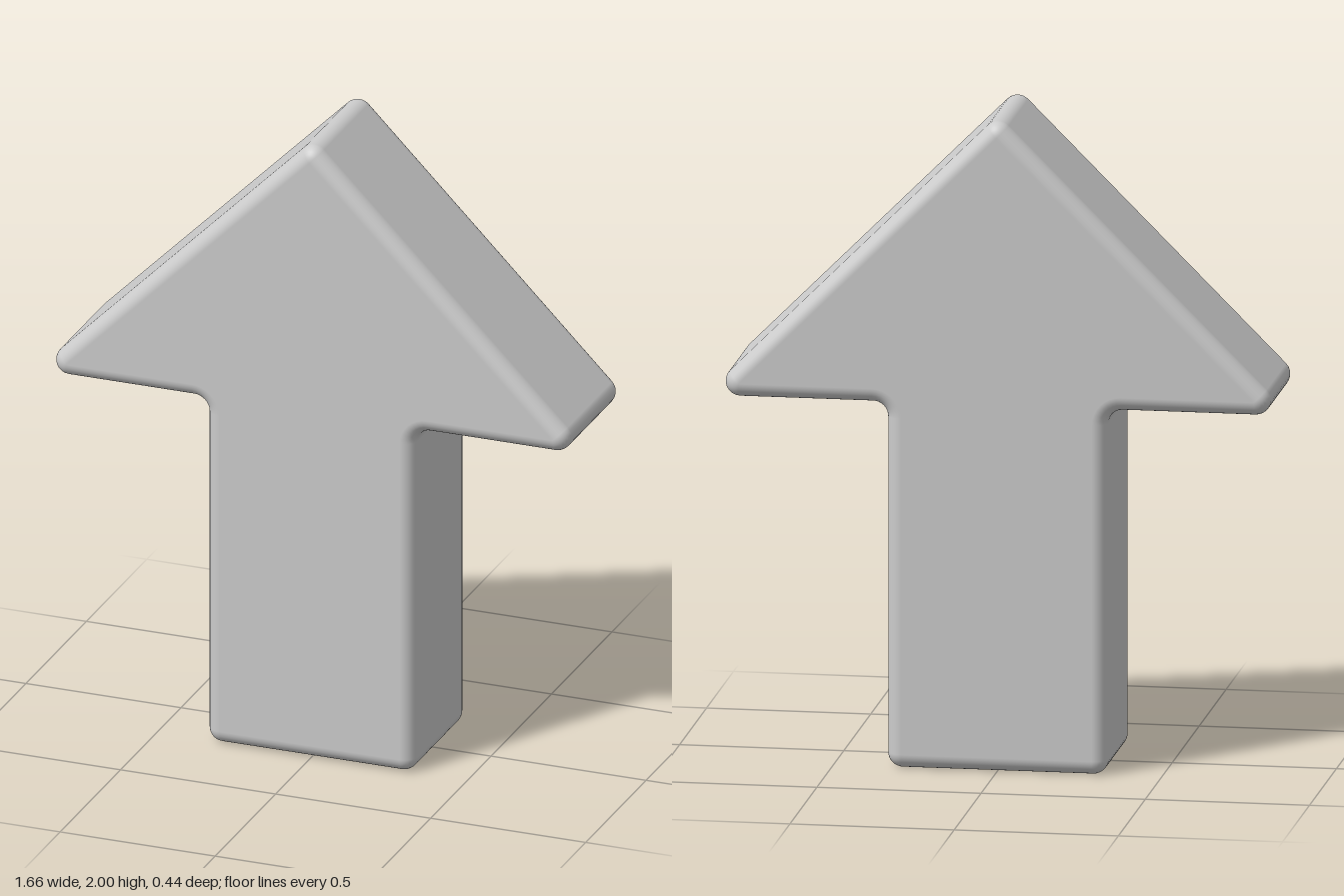
import * as THREE from 'three';

const R = 0.045;         // edge rounding
const HALF = 0.222 - R;  // half depth before the rounded rim
const STEPS = 8;

// Right half of the outline, counter-clockwise: centre, start and end angle
// of the outward normal, and arc radius (0 = outer corner, else inner fillet)
const half = [
  [0.29, R, -90, 0, 0],            // foot of the shaft
  [0.38, 1.08, 0, -90, 2 * R],     // inner corner under the head
  [0.785, 1.125 + R, -90, 45, 0],  // tip of the wing
];
const corners = [
  ...half,
  [0, 2 - R, 45, 135, 0],          // point of the arrow
  ...half.map(([x, y, a, b, r]) => [-x, y, 180 - b, 180 - a, r]).reverse(),
];

// Inset outline points, each with its outward normal
function outline() {
  const pts = [];
  for (const [x, y, a, b, r] of corners) {
    for (let i = 0; i <= STEPS; i++) {
      const t = THREE.MathUtils.degToRad(a + (b - a) * i / STEPS);
      const nx = Math.cos(t), ny = Math.sin(t);
      pts.push({ x: x - r * nx, y: y - r * ny, nx, ny, apex: r === 0 && i > 0 });
    }
  }
  return pts;
}

function roundedArrow() {
  const pts = outline(), n = pts.length;
  const pos = [], nor = [], index = [];

  // Rings from the back rim, across the straight wall, to the front rim
  const rings = [];
  for (const side of [-1, 1]) {
    for (let i = 0; i <= STEPS; i++) {
      const a = (side < 0 ? i - STEPS : i) / STEPS * Math.PI / 2;
      rings.push([Math.cos(a), Math.sin(a), side * HALF + R * Math.sin(a)]);
    }
  }
  for (const [c, s, z] of rings) {
    for (const p of pts) {
      pos.push(p.x + R * c * p.nx, p.y + R * c * p.ny, z);
      nor.push(c * p.nx, c * p.ny, s);
    }
  }
  for (let j = 0; j < rings.length - 1; j++) {
    for (let i = 0; i < n; i++) {
      const k = (i + 1) % n;
      const a = j * n + i, b = j * n + k;
      index.push(a, b, b + n, a, b + n, a + n);
    }
  }

  // Flat front and back faces
  const ids = pts.map((p, i) => i).filter((i) => !pts[i].apex);
  const contour = ids.map((i) => new THREE.Vector2(pts[i].x, pts[i].y));
  const last = (rings.length - 1) * n;
  for (const tri of THREE.ShapeUtils.triangulateShape(contour, [])) {
    const [a, b, c] = tri.map((t) => ids[t]);
    index.push(last + a, last + b, last + c, c, b, a);
  }

  const geo = new THREE.BufferGeometry();
  geo.setAttribute('position', new THREE.Float32BufferAttribute(pos, 3));
  geo.setAttribute('normal', new THREE.Float32BufferAttribute(nor, 3));
  geo.setIndex(index);
  return geo;
}

export function createModel() {
  const group = new THREE.Group();
  group.name = 'upArrow';
  const arrow = new THREE.Mesh(roundedArrow(), new THREE.MeshStandardMaterial({ color: 0xcccccc }));
  arrow.name = 'arrowBody';
  group.add(arrow);
  return group;
}
